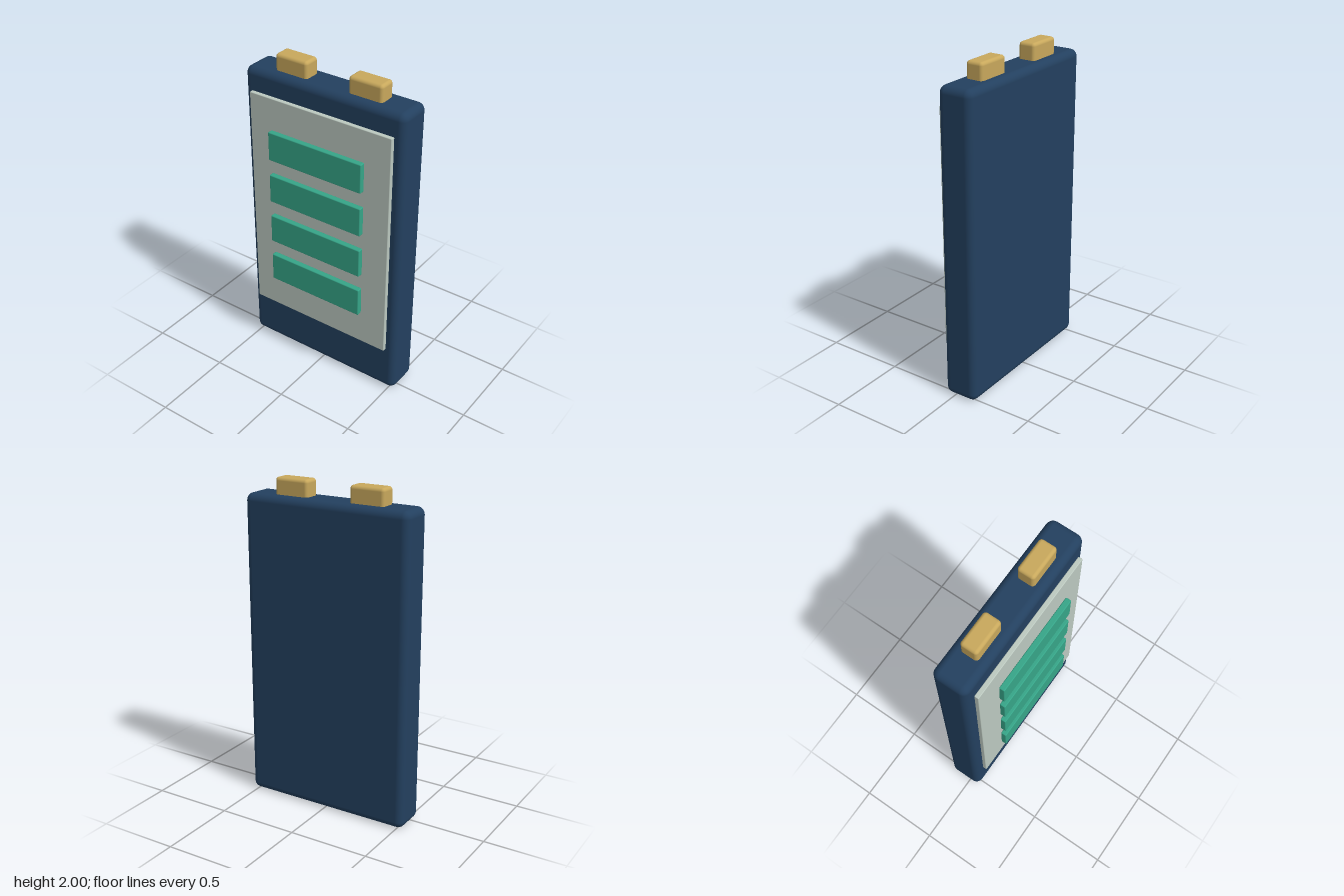
import * as THREE from 'three';
import { RoundedBoxGeometry } from 'three/addons/geometries/RoundedBoxGeometry.js';

const material = (name, color) => {
  const m = new THREE.MeshStandardMaterial({ color });
  m.name = name;
  return m;
};

export function createModel() {
  const group = new THREE.Group();
  group.name = 'batteryPack';

  const navy = material('navy casing', 0x23405f);
  const grey = material('pale grey panel', 0xbcc9c0);
  const green = material('green charge', 0x36a588);
  const gold = material('gold contact', 0xc8a85c);

  // Rounded block given by its extents along each axis
  const block = (name, mat, [x0, x1], [y0, y1], [z0, z1], radius, segments = 4) => {
    const geometry = new RoundedBoxGeometry(x1 - x0, y1 - y0, z1 - z0, segments, radius);
    const mesh = new THREE.Mesh(geometry, mat);
    mesh.name = name;
    mesh.position.set((x0 + x1) / 2, (y0 + y1) / 2, (z0 + z1) / 2);
    group.add(mesh);
  };

  // Casing and the display panel standing just off its front
  block('casing', navy, [-0.54, 0.54], [0, 1.9], [-0.15, 0.07], 0.045);
  block('displayPanel', grey, [-0.48, 0.48], [0.312, 1.765], [0.074, 0.102], 0.005, 2);

  // Four charge bars floating in front of the panel
  for (let i = 0; i < 4; i++) {
    const y = 0.542 + i * 0.283;
    block(`chargeBar${i + 1}`, green, [-0.32, 0.32], [y, y + 0.183], [0.112, 0.148], 0.006, 2);
  }

  // Pair of terminals sunk into the top
  for (const [name, x] of [['leftTerminal', 0.248], ['rightTerminal', -0.248]]) {
    block(name, gold, [x - 0.11, x + 0.11], [1.86, 2], [-0.094, 0.014], 0.02);
  }

  return group;
}
